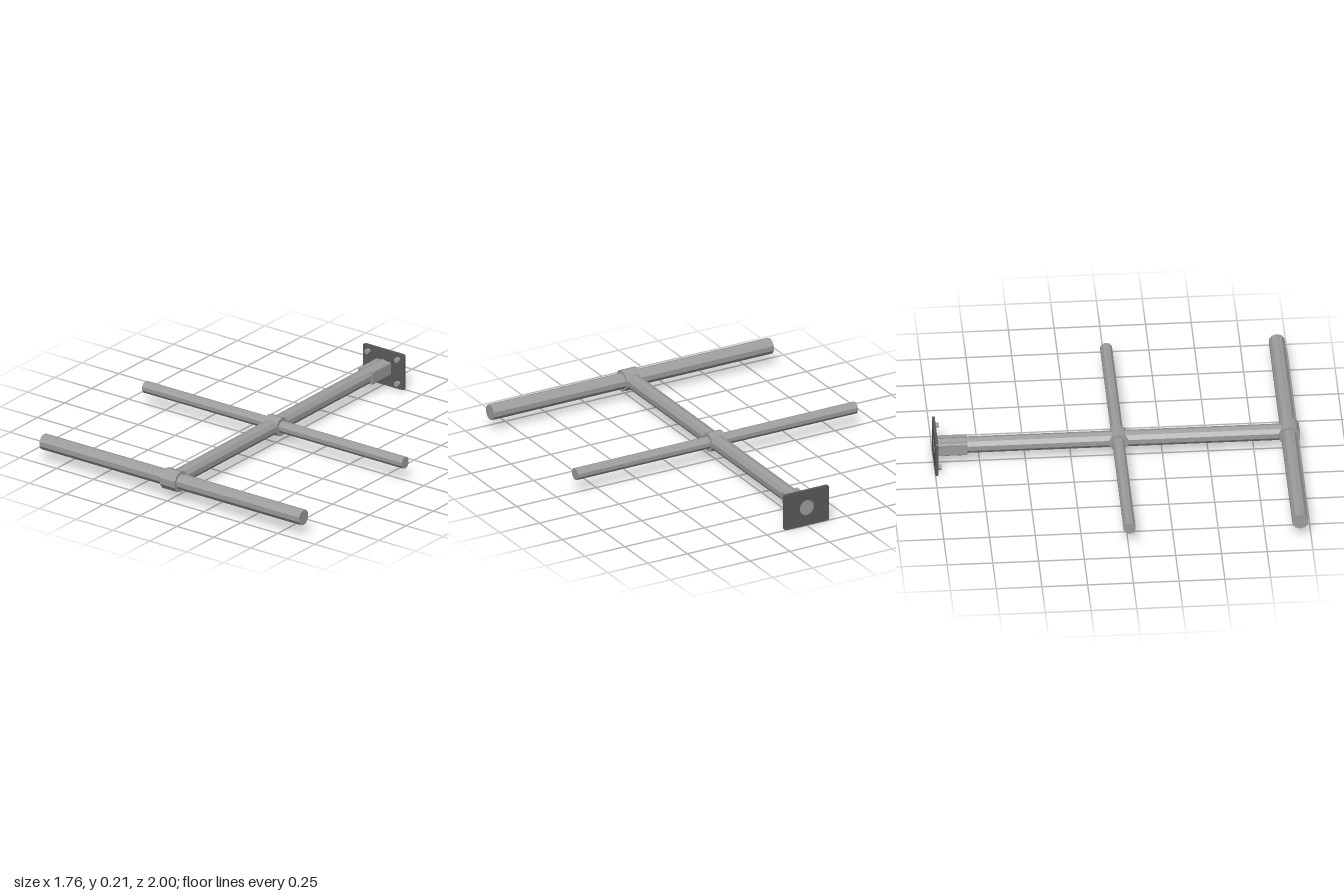
import * as THREE from 'three';

const SIDES = 10;
const AXIS_Y = 0.107; // height of all pipe centre lines

export function createModel() {
  const model = new THREE.Group();
  const steel = new THREE.MeshStandardMaterial({ color: 0x9c9c9c });
  steel.name = 'galvanised steel';
  const dark = new THREE.MeshStandardMaterial({ color: 0x5a5a5a });
  dark.name = 'dark steel';
  steel.flatShading = dark.flatShading = true;

  const add = (name, geometry, material, x, y, z) => {
    const mesh = new THREE.Mesh(geometry, material);
    mesh.name = name;
    mesh.position.set(x, y, z);
    model.add(mesh);
    return mesh;
  };

  // Faceted rods, with an edge on top
  const rodX = (r, length) =>
    new THREE.CylinderGeometry(r, r, length, SIDES, 1, false, Math.PI / 2).rotateZ(Math.PI / 2);
  const rodZ = (r, length, sides = SIDES) =>
    new THREE.CylinderGeometry(r, r, length, sides).rotateX(Math.PI / 2);

  // Rounded rectangle extruded along z, starting at z = 0
  const slab = (w, h, depth, r) => {
    const s = new THREE.Shape();
    const x = w / 2, y = h / 2;
    s.moveTo(-x + r, -y);
    s.lineTo(x - r, -y);
    s.quadraticCurveTo(x, -y, x, -y + r);
    s.lineTo(x, y - r);
    s.quadraticCurveTo(x, y, x - r, y);
    s.lineTo(-x + r, y);
    s.quadraticCurveTo(-x, y, -x, y - r);
    s.lineTo(-x, -y + r);
    s.quadraticCurveTo(-x, -y, -x + r, -y);
    return new THREE.ExtrudeGeometry(s, { depth, bevelEnabled: false, curveSegments: 3 });
  };

  // Pipes: the spine shows its end through the back of the plate
  add('spinePipe', rodZ(0.045, 1.941), steel, 0, AXIS_Y, -0.0305);
  add('frontCrossbar', rodX(0.045, 1.76), steel, 0, AXIS_Y, 0.94);
  add('middleCrossbar', rodX(0.034, 1.76), steel, 0, AXIS_Y, 0.007);

  // Collars where the pipes meet
  add('frontCollar', rodX(0.06, 0.1), steel, 0, AXIS_Y, 0.943);
  add('middleCollar', rodX(0.054, 0.09), steel, 0, AXIS_Y, 0.009);
  add('rearSocket', slab(0.1, 0.076, 0.17, 0.008), steel, 0, AXIS_Y, -0.988);

  // Wall plate and its bolts
  add('wallPlate', slab(0.28, 0.21, 0.015, 0.012), dark, 0, 0.105, -1);
  for (const x of [-0.1, 0.1]) {
    for (const y of [0.034, 0.176]) {
      add('bolt', rodZ(0.015, 0.022, 8), steel, x, y, -0.976);
    }
  }
  return model;
}
